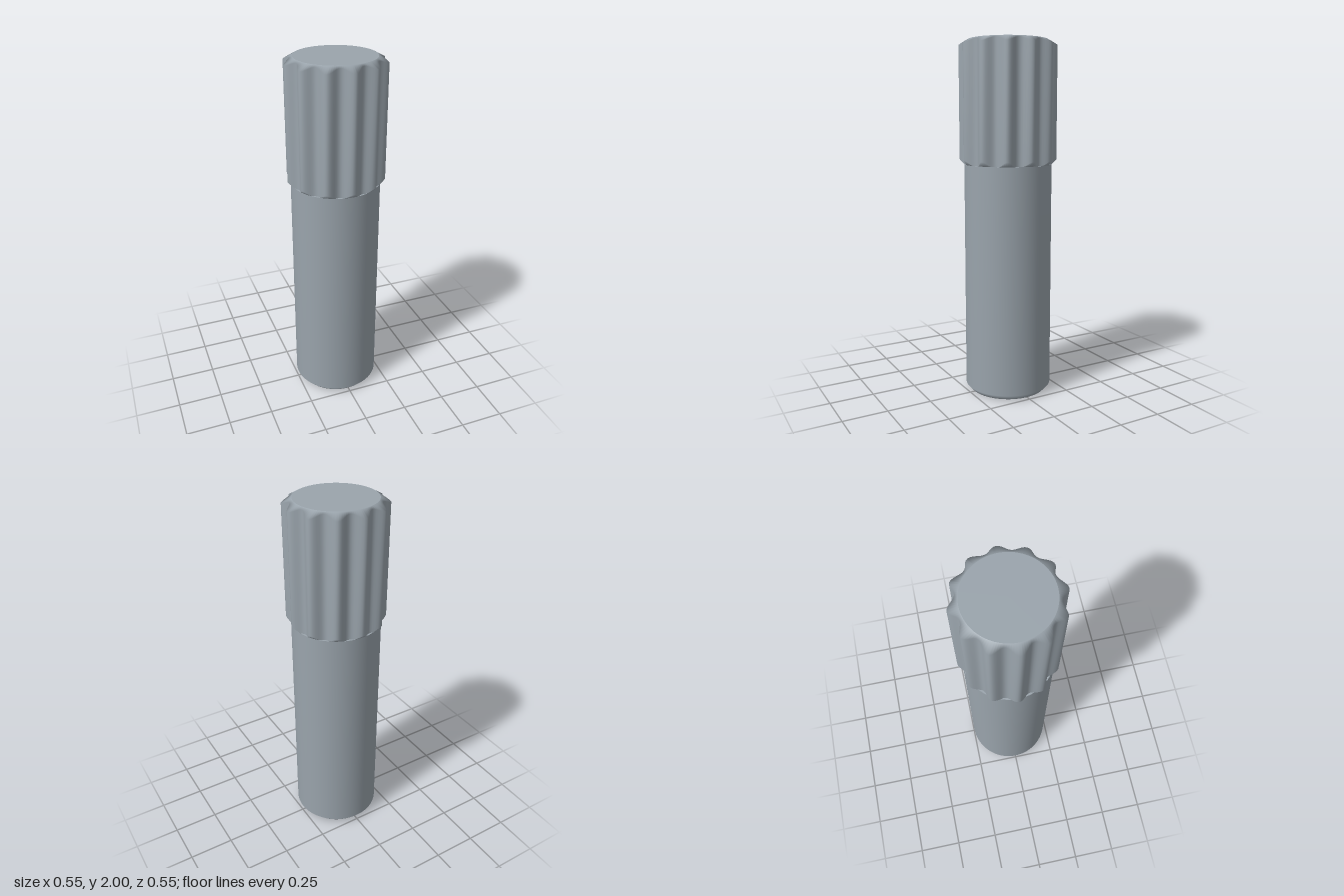
import * as THREE from 'three';

const SHAFT_R = 0.247, CAP_R = 0.22, COLLAR_Y = 1.315, TOP_Y = 2;
const TEETH = 12, SEGMENTS = 144;

// Radius of the splined head at a given angle
function splineRadius(angle) {
  const wave = (1 + Math.cos(TEETH * angle)) / 2;
  return 0.236 + 0.038 * Math.pow(wave, 1.15);
}

// Splined side wall: chamfered at the top and where the teeth meet the shaft
function splineGeometry() {
  const positions = [], index = [];
  for (let i = 0; i < SEGMENTS; i++) {
    const a = (i / SEGMENTS) * Math.PI * 2;
    const r = splineRadius(a);
    const rings = [
      [Math.min(r, SHAFT_R), COLLAR_Y],
      [r, COLLAR_Y + Math.max(0, r - SHAFT_R)],
      [r, TOP_Y - (r - CAP_R) * 0.55],
      [CAP_R, TOP_Y],
    ];
    for (const [radius, y] of rings) positions.push(Math.sin(a) * radius, y, Math.cos(a) * radius);
    for (let j = 0; j < 3; j++) {
      const p = i * 4 + j, q = ((i + 1) % SEGMENTS) * 4 + j;
      index.push(p, q, q + 1, p, q + 1, p + 1);
    }
  }
  const geometry = new THREE.BufferGeometry();
  geometry.setAttribute('position', new THREE.Float32BufferAttribute(positions, 3));
  geometry.setIndex(index);
  geometry.computeVertexNormals();
  return geometry;
}

export function createModel() {
  const model = new THREE.Group();
  model.name = 'splinedPin';
  const steel = new THREE.MeshStandardMaterial({ color: 0x9aa4ac });
  steel.name = 'steel grey';

  const add = (name, geometry, y = 0, tilt = 0) => {
    const mesh = new THREE.Mesh(geometry, steel);
    mesh.name = name;
    mesh.position.y = y;
    mesh.rotation.x = tilt;
    model.add(mesh);
  };

  // Plain shaft with a chamfered foot
  const profile = [[CAP_R, 0], [SHAFT_R, 0.03], [SHAFT_R, COLLAR_Y]].map(([r, y]) => new THREE.Vector2(r, y));
  add('shaft', new THREE.LatheGeometry(profile, 96));
  add('shaftEnd', new THREE.CircleGeometry(CAP_R, 96), 0, Math.PI / 2);

  // Narrow ledge left showing between the teeth
  add('shaftLedge', new THREE.RingGeometry(0.2, SHAFT_R, 96), COLLAR_Y, -Math.PI / 2);

  // Splined head and its flat end
  add('splinedHead', splineGeometry());
  add('headEnd', new THREE.CircleGeometry(CAP_R, SEGMENTS), TOP_Y, -Math.PI / 2);

  return model;
}
